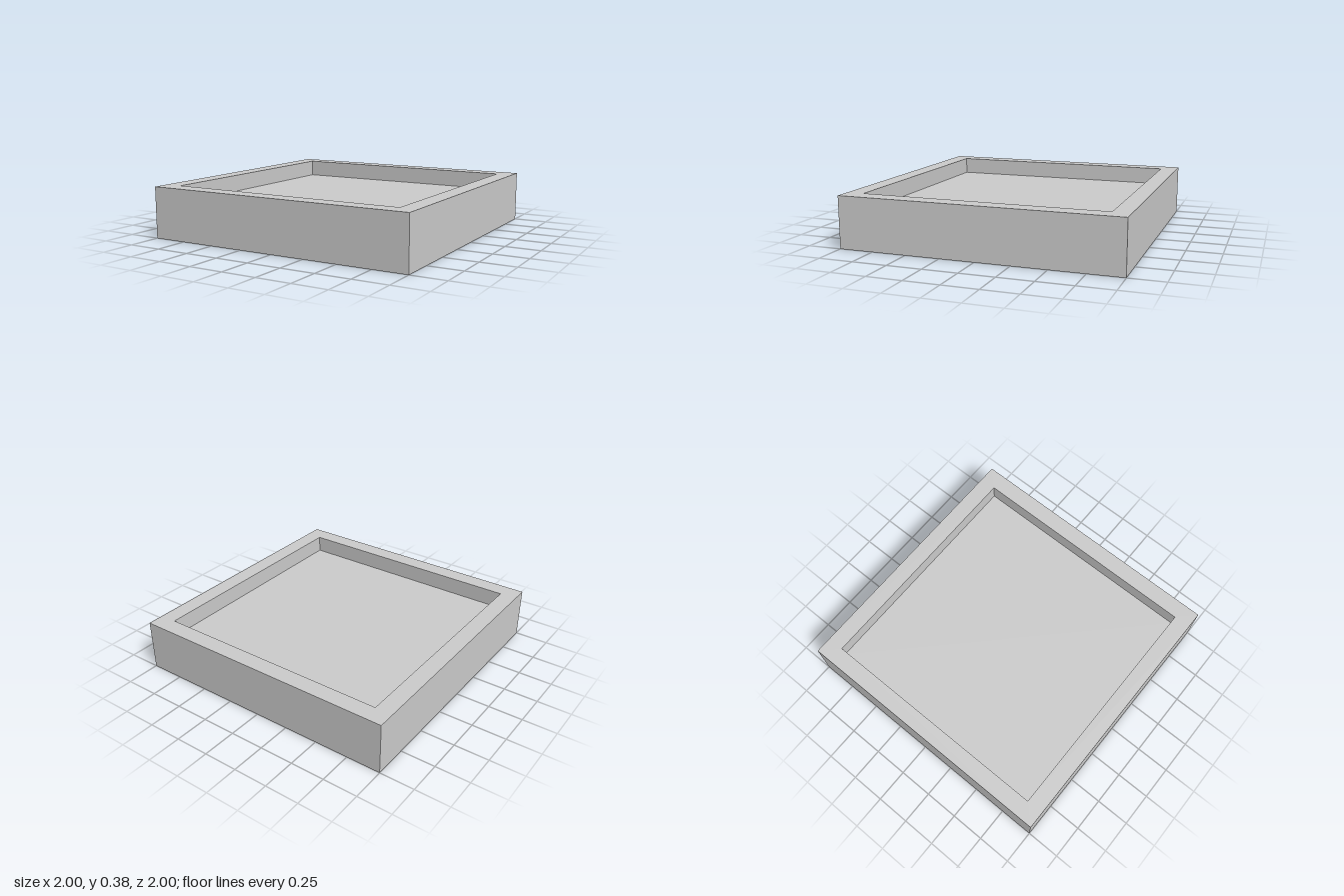
import * as THREE from 'three';

const HALF = 1;        // half width of the tray
const HEIGHT = 0.375;  // overall height
const WALL = 0.125;    // rim thickness
const FLOOR = 0.25;    // height of the recessed floor

export function createModel() {
  const group = new THREE.Group();
  group.name = 'squareTray';

  // Half section of the tray: underside, outer wall, rim, inner wall, floor
  const inner = HALF - WALL;
  const profile = [
    [0, 0], [HALF, 0], [HALF, HEIGHT], [inner, HEIGHT], [inner, FLOOR], [0, FLOOR],
  ].map(([x, y]) => new THREE.Vector2(x * Math.SQRT2, y));

  // Four-sided lathe, turned so its flat sides face the axes
  const geometry = new THREE.LatheGeometry(profile, 4, Math.PI / 4).toNonIndexed();
  geometry.computeVertexNormals();

  const tray = new THREE.Mesh(
    geometry,
    new THREE.MeshStandardMaterial({ color: 0xcccccc, flatShading: true }),
  );
  tray.name = 'tray';
  group.add(tray);
  return group;
}
